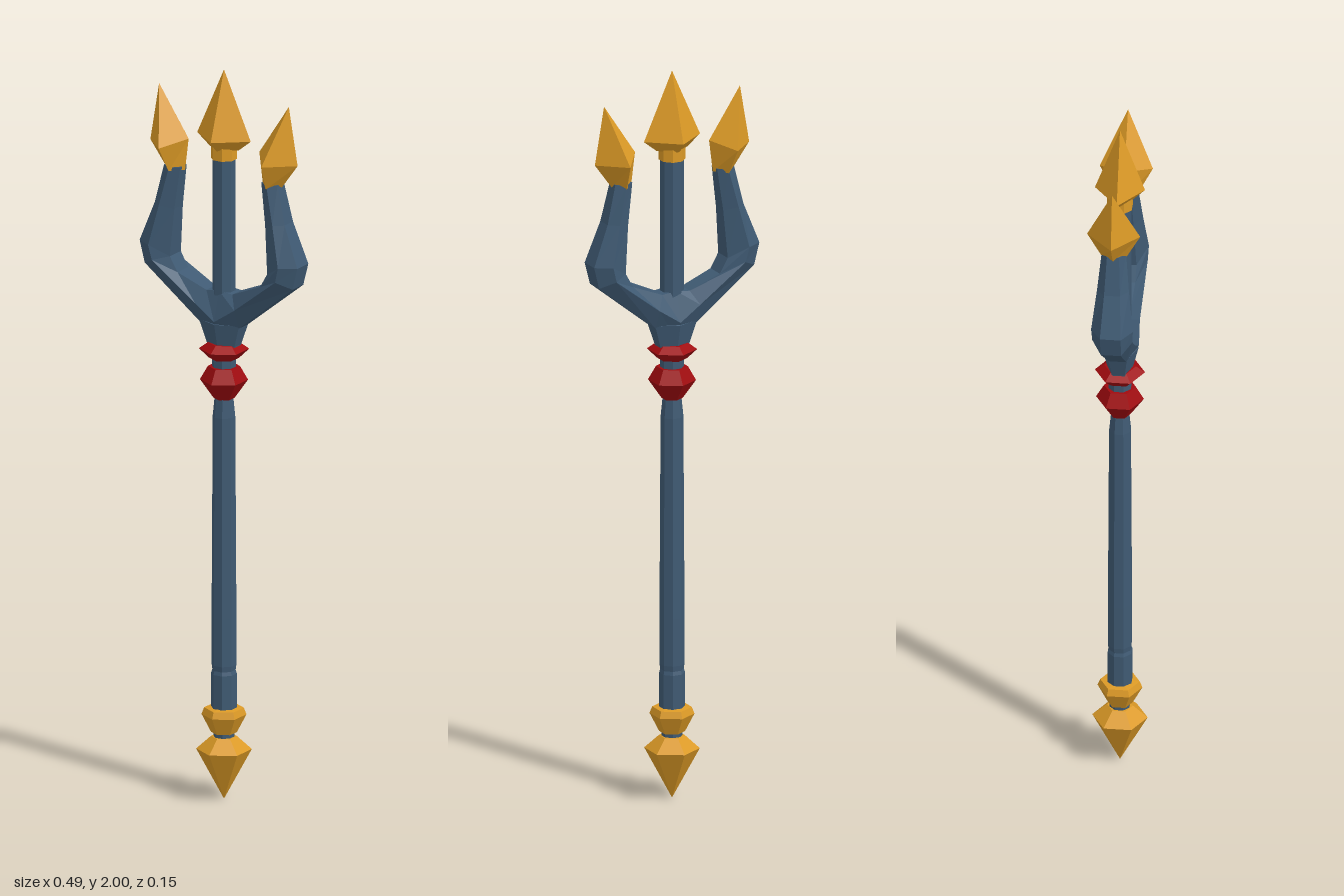
import * as THREE from 'three';

const material = (name, color) => {
  const m = new THREE.MeshStandardMaterial({ color });
  m.name = name;
  return m;
};

// Split every face so the facets stay crisp
function faceted(geometry) {
  const g = geometry.index ? geometry.toNonIndexed() : geometry;
  g.computeVertexNormals();
  return g;
}

// Faceted turned part from [radius, y] pairs, bottom to top
function turned(profile, sides, turn = 0) {
  const pts = profile.map(([r, y]) => new THREE.Vector2(r, y));
  return faceted(new THREE.LatheGeometry(pts, sides).rotateY(turn));
}

// Skin closed rings of [x, y, z]; side +1 or -1 mirrors them across x
function loft(rings, side) {
  const rs = rings.map((ring) => {
    const r = ring.map(([x, y, z]) => [x * side, y, z]);
    return side > 0 ? r.reverse() : r;
  });
  const n = rs[0].length, pos = [];
  const tri = (a, b, c) => pos.push(...a, ...b, ...c);
  for (let i = 0; i < rs.length - 1; i++) {
    for (let j = 0; j < n; j++) {
      const k = (j + 1) % n;
      tri(rs[i][j], rs[i][k], rs[i + 1][k]);
      tri(rs[i][j], rs[i + 1][k], rs[i + 1][j]);
    }
  }
  const last = rs[rs.length - 1];
  for (let j = 1; j < n - 1; j++) {
    tri(rs[0][0], rs[0][j + 1], rs[0][j]);
    tri(last[0], last[j], last[j + 1]);
  }
  const g = new THREE.BufferGeometry();
  g.setAttribute('position', new THREE.Float32BufferAttribute(pos, 3));
  g.computeVertexNormals();
  return g;
}

export function createModel() {
  const steel = material('blue steel', 0x3f5a73);
  const gold = material('gold', 0xdc9a26);
  const red = material('red', 0xa00a0e);
  const model = new THREE.Group();
  model.name = 'trident';
  const add = (name, geometry, mat) => {
    const mesh = new THREE.Mesh(geometry, mat);
    mesh.name = name;
    model.add(mesh);
  };
  const octTurn = Math.PI / 8;

  // Octagonal shaft with a seam near the grip end, and the middle prong
  add('shaft', turned([[0.028, 0.16], [0.028, 0.24], [0.034, 0.25], [0.034, 0.345], [0.031, 0.355],
    [0.033, 0.37], [0.033, 0.5], [0.03, 1.05], [0.024, 1.11], [0.032, 1.17], [0.032, 1.26]], 8, octTurn), steel);
  add('middleProng', turned([[0.031, 1.3], [0.031, 1.77]], 8, octTurn), steel);

  // Pommel spike and its collar
  add('pommel', turned([[0, 0], [0.073, 0.137], [0.034, 0.172], [0, 0.172]], 6), gold);
  add('pommelCollar', turned([[0, 0.183], [0.034, 0.183], [0.059, 0.232], [0.052, 0.25], [0, 0.256]], 6), gold);

  // Red collars below the fork
  add('lowerCollar', turned([[0, 1.1], [0.028, 1.1], [0.063, 1.15], [0.042, 1.187], [0, 1.187]], 6), red);
  add('upperCollar', turned([[0, 1.205], [0.04, 1.21], [0.066, 1.235], [0.042, 1.252], [0, 1.252]], 6), red);

  // Flared stem under the fork
  add('forkStem', turned([[0.032, 1.235], [0.034, 1.25], [0.049, 1.312], [0, 1.34]], 6).scale(1.45, 1, 1), steel);
  model.children[model.children.length - 1].geometry.computeVertexNormals();

  // Arm sections: outer edge, ridge and inner edge in x, y, then ridge depth
  const arm = [
    [0, 1.265, 0, 1.32, 0, 1.4, 0.05],
    [0.06, 1.305, 0.06, 1.36, 0.04, 1.395, 0.046],
    [0.228, 1.44, 0.19, 1.46, 0.127, 1.43, 0.053],
    [0.243, 1.5, 0.2, 1.5, 0.15, 1.47, 0.055],
    [0.2, 1.61, 0.175, 1.61, 0.14, 1.6, 0.042],
    [0.175, 1.715, 0.15, 1.715, 0.125, 1.715, 0.032],
  ].map(([ox, oy, rx, ry, ix, iy, d]) => [
    [ox, oy, d / 2], [rx, ry, d], [ix, iy, d / 2],
    [ix, iy, -d / 2], [rx, ry, -d], [ox, oy, -d / 2],
  ]);

  // Four-sided side tips leaning outward
  const tip = [
    [[0.178, 1.705, 0], [0.15, 1.705, 0.034], [0.12, 1.705, 0], [0.15, 1.705, -0.034]],
    [[0.227, 1.772, 0], [0.158, 1.775, 0.07], [0.109, 1.792, 0], [0.158, 1.775, -0.07]],
    Array(4).fill([0.2, 1.93, 0]),
  ];
  for (const [side, label] of [[1, 'left'], [-1, 'right']]) {
    add(label + 'Arm', loft(arm, side), steel);
    add(label + 'Tip', loft(tip, side), gold);
  }

  // Middle tip on its neck
  add('middleNeck', turned([[0, 1.757], [0.035, 1.757], [0.035, 1.8]], 8, octTurn), gold);
  const head = turned([[0, 1.785], [0.036, 1.785], [0.066, 1.815], [0, 2]], 4).scale(1.25, 1, 1);
  head.computeVertexNormals();
  add('middleTip', head, gold);

  return model;
}
